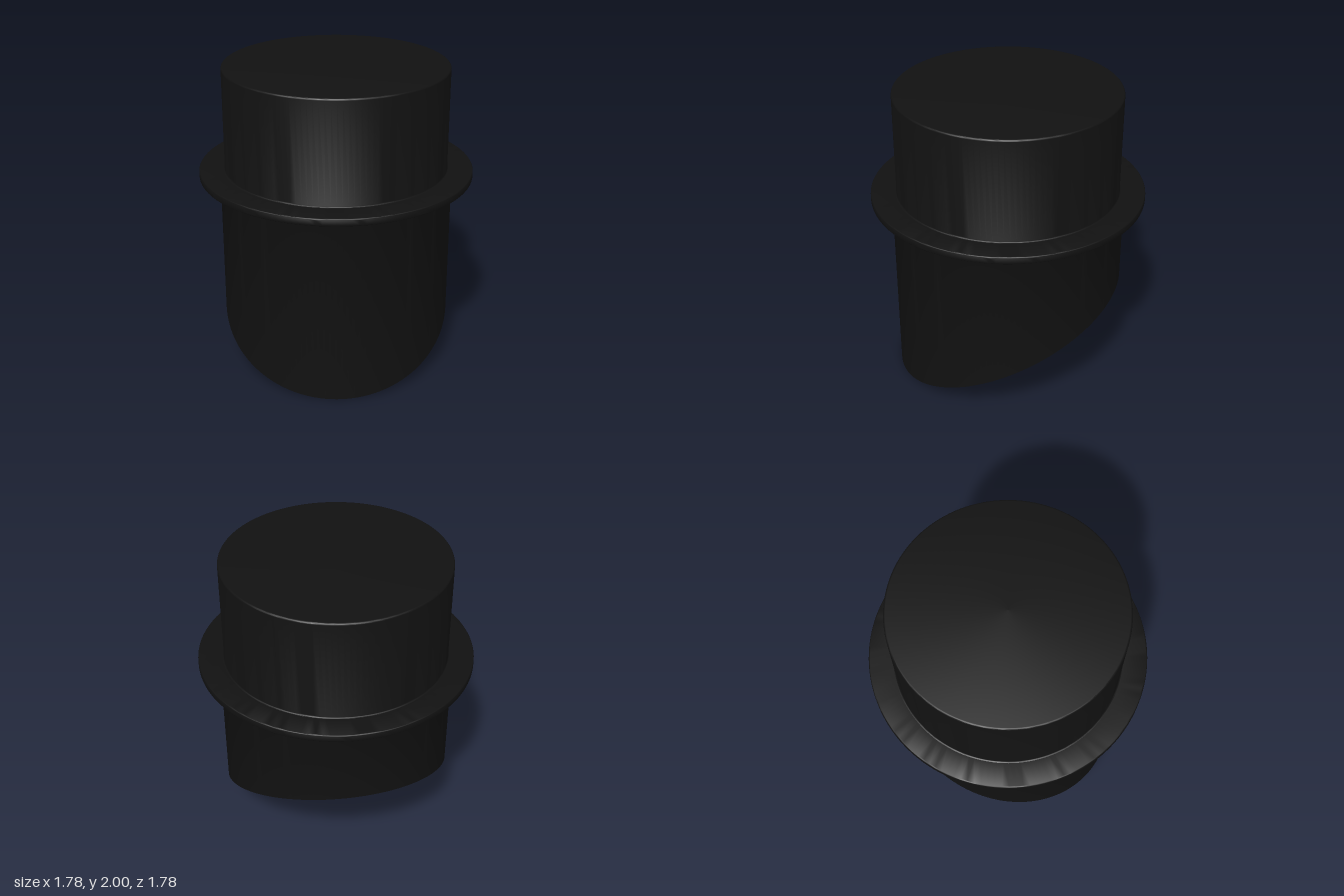
import * as THREE from 'three';
import { toCreasedNormals } from 'three/addons/utils/BufferGeometryUtils.js';

const SEGMENTS = 128;
const OUTER = 0.755, INNER = 0.705, PLUG = 0.725, FLANGE = 0.89;
const FLANGE_BOTTOM = 1.275, FLANGE_TOP = 1.325, HEIGHT = 2;
const FILLET = 0.01;

// Points of a small rounded corner, angles in quarter turns
function arc(cx, cy, r, from, to) {
  return [0, 1, 2, 3, 4].map((i) => {
    const a = (from + (to - from) * i / 4) * Math.PI / 2;
    return [cx + r * Math.cos(a), cy + r * Math.sin(a)];
  });
}

function turned(name, profile, material, rule) {
  const points = profile.map(([x, y]) => new THREE.Vector2(x, y));
  const geometry = new THREE.LatheGeometry(points, SEGMENTS);
  if (rule) {
    const p = geometry.attributes.position;
    for (let i = 0; i < p.count; i++) p.setY(i, rule(p.getY(i), p.getZ(i)));
  }
  const mesh = new THREE.Mesh(toCreasedNormals(geometry, 0.6), material);
  mesh.name = name;
  return mesh;
}

export function createModel() {
  const group = new THREE.Group();
  group.name = 'slantedPipeCap';
  const black = new THREE.MeshStandardMaterial({ color: 0x111111 });

  // Hollow sleeve: ceiling, inner wall, slanted rim, outer wall
  const slant = (y, z) => (y < 0.1 ? y + 0.7 * (OUTER - z) / (2 * OUTER) : y);
  group.add(turned('slantedSleeve', [
    [0, FLANGE_TOP], [INNER, FLANGE_TOP], [INNER, 0], [OUTER, 0],
    ...arc(OUTER + FILLET, FLANGE_BOTTOM - FILLET, FILLET, 2, 1),
  ], black, slant));

  // Flange with rounded outer edges
  group.add(turned('flange', [
    [OUTER + FILLET, FLANGE_BOTTOM],
    ...arc(FLANGE - FILLET, FLANGE_BOTTOM + FILLET, FILLET, -1, 0),
    ...arc(FLANGE - FILLET, FLANGE_TOP - FILLET, FILLET, 0, 1),
    [PLUG + FILLET, FLANGE_TOP],
  ], black));

  // Closed upper plug with a softened top edge
  group.add(turned('upperPlug', [
    ...arc(PLUG + FILLET, FLANGE_TOP + FILLET, FILLET, 3, 2),
    ...arc(PLUG - 0.012, HEIGHT - 0.012, 0.012, 0, 1),
    [0, HEIGHT],
  ], black));

  return group;
}
